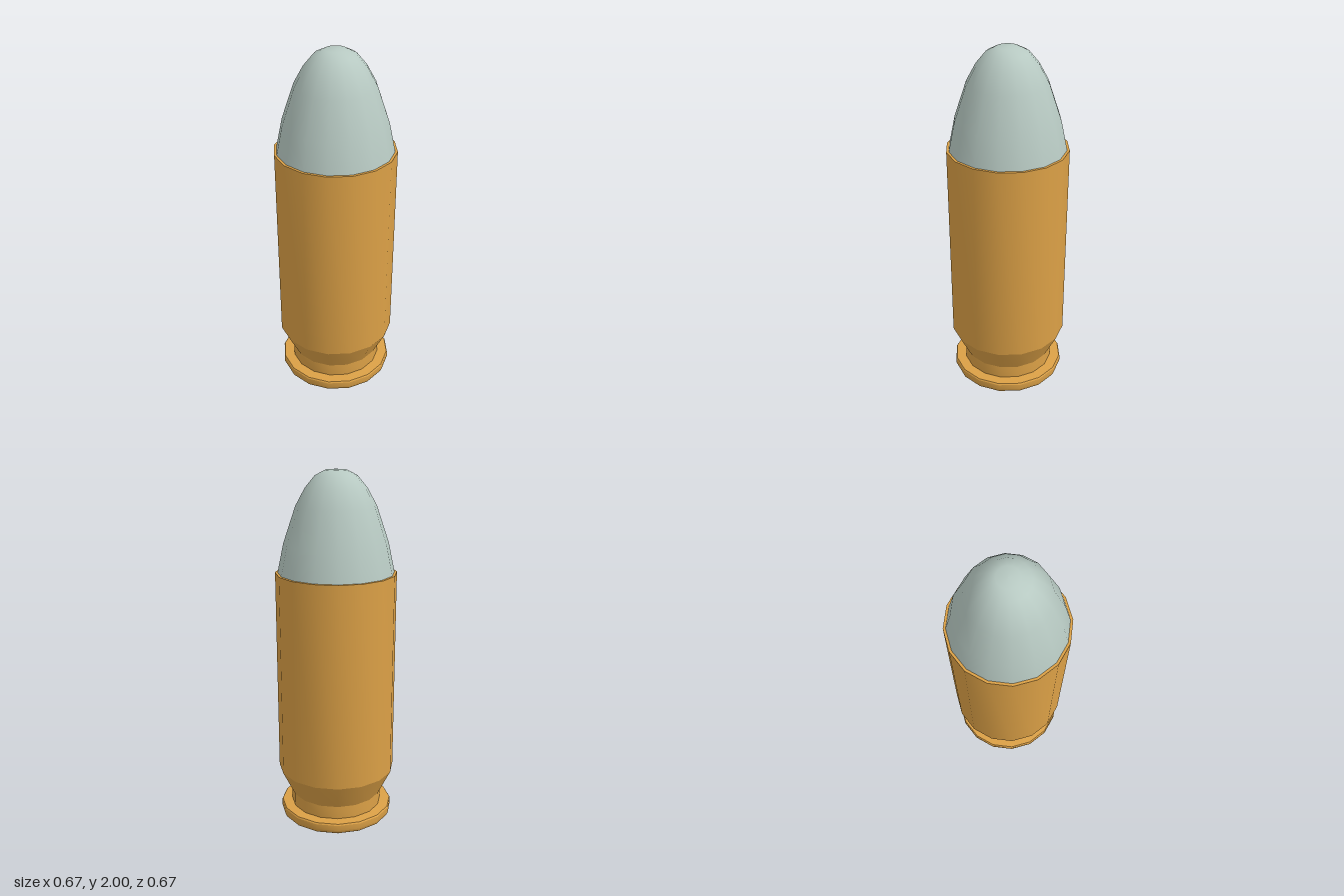
import * as THREE from 'three';
import { toCreasedNormals } from 'three/addons/utils/BufferGeometryUtils.js';

const SIDES = 16;

// Revolves a bottom-to-top list of [radius, height] points.
function lathe(profile) {
  return new THREE.LatheGeometry(profile.map(([r, y]) => new THREE.Vector2(r, y)), SIDES);
}

function part(name, geometry, material) {
  const mesh = new THREE.Mesh(geometry, material);
  mesh.name = name;
  return mesh;
}

export function createModel() {
  const group = new THREE.Group();
  group.name = 'cartridge';
  const brass = new THREE.MeshStandardMaterial({ color: 0xdba046 });
  const lead = new THREE.MeshStandardMaterial({ color: 0xb7c9c2 });

  // Case: bevelled rim, extractor groove, taper, straight wall and mouth lip
  const caseGeometry = lathe([
    [0, 0], [0.302, 0], [0.317, 0.01], [0.325, 0.028], [0.325, 0.06], [0.32, 0.068],
    [0.262, 0.07], [0.262, 0.145],
    [0.335, 0.295], [0.335, 1.45], [0.321, 1.45],
  ]);
  group.add(part('case', toCreasedNormals(caseGeometry, 0.42), brass));

  // Bullet: smooth rounded nose with a small flat tip
  const bulletGeometry = lathe([
    [0.321, 1.45], [0.287, 1.61], [0.219, 1.81], [0.167, 1.905],
    [0.113, 1.97], [0.058, 1.998], [0, 2],
  ]);
  group.add(part('bullet', bulletGeometry, lead));

  return group;
}
